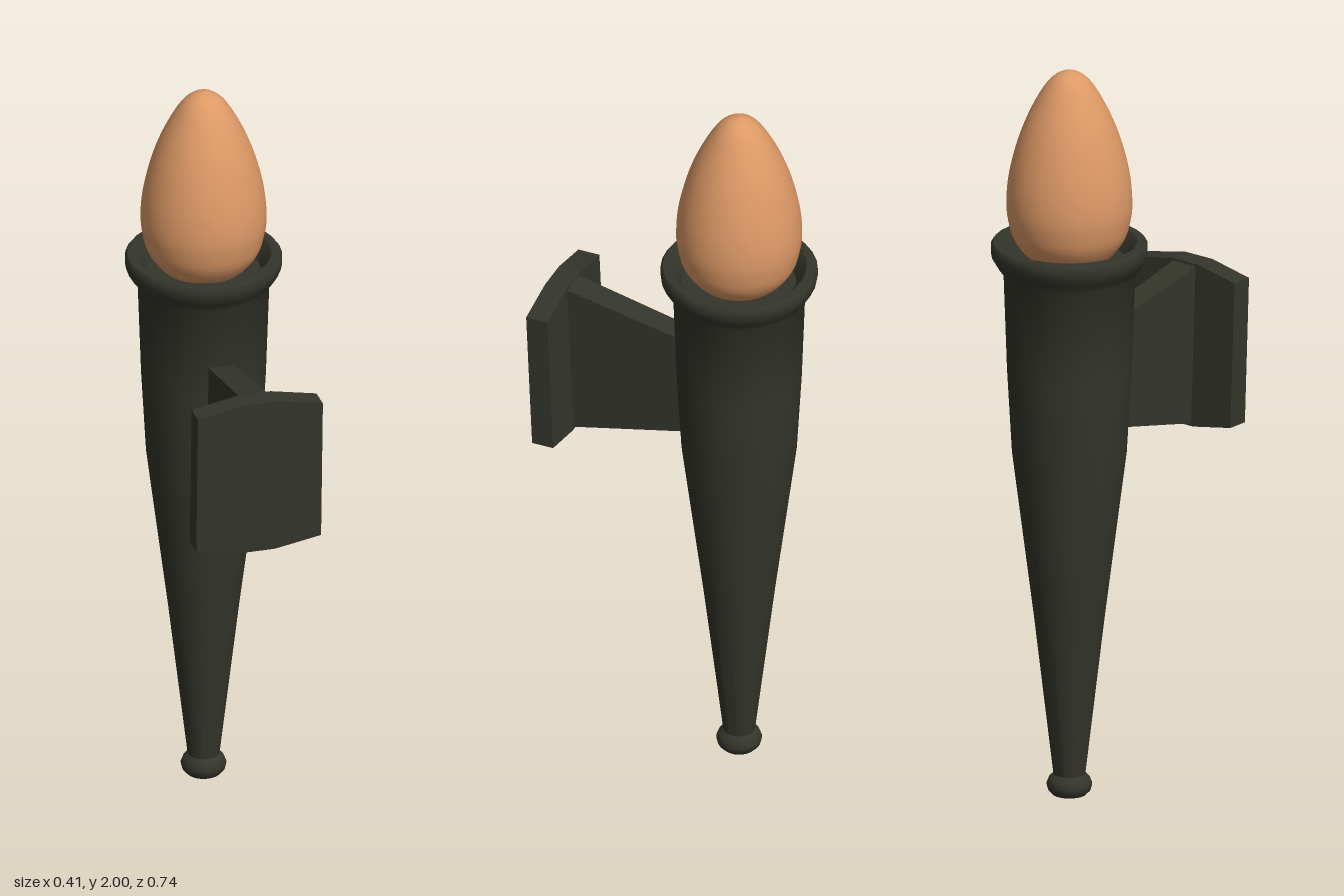
import * as THREE from 'three';
import { toCreasedNormals } from 'three/addons/utils/BufferGeometryUtils.js';

const iron = new THREE.MeshStandardMaterial({ color: 0x34352b });
const glow = new THREE.MeshStandardMaterial({ color: 0xdd9966 });
const TORCH_Z = -0.165;

const vec = ([x, y]) => new THREE.Vector2(x, y);

function add(group, name, geometry, material) {
  const mesh = new THREE.Mesh(geometry, material);
  mesh.name = name;
  group.add(mesh);
  return mesh;
}

// Extrude an outline, then move every vertex by a rule; faces stay flat
function flatExtrude(outline, depth, rule) {
  const geo = new THREE.ExtrudeGeometry(new THREE.Shape(outline.map(vec)), { depth, bevelEnabled: false });
  geo.translate(0, 0, -depth / 2);
  const pos = geo.attributes.position;
  const v = new THREE.Vector3();
  for (let i = 0; i < pos.count; i++) {
    rule(v.fromBufferAttribute(pos, i));
    pos.setXYZ(i, v.x, v.y, v.z);
  }
  geo.computeVertexNormals();
  return geo;
}

export function createModel() {
  const model = new THREE.Group();
  model.name = 'wallTorch';

  // Tapered handle with a foot knob, flared rim and shallow cup
  const handle = [
    [0, 0], [0.045, 0], [0.056, 0.012], [0.06, 0.028], [0.054, 0.044], [0.042, 0.056],
    [0.094, 0.5], [0.151, 0.95], [0.164, 1.18], [0.173, 1.44],
    [0.19, 1.463], [0.203, 1.485], [0.206, 1.5], [0.206, 1.518], [0.2, 1.526],
    [0.178, 1.526], [0.167, 1.515], [0.15, 1.475], [0, 1.46],
  ];
  const handleGeo = toCreasedNormals(new THREE.LatheGeometry(handle.map(vec), 32), 0.7);
  add(model, 'handle', handleGeo, iron).position.z = TORCH_Z;

  // Egg-shaped flame
  const flame = new THREE.SplineCurve([
    [0, 1.465], [0.09, 1.477], [0.142, 1.53], [0.161, 1.59], [0.165, 1.645], [0.157, 1.72],
    [0.134, 1.81], [0.102, 1.89], [0.062, 1.96], [0.03, 1.99], [0, 2],
  ].map(vec)).getPoints(40);
  flame[0].x = flame[40].x = 0;
  add(model, 'flame', new THREE.LatheGeometry(flame, 40), glow).position.z = TORCH_Z;

  // Wall plate with chamfered ends, leaning slightly with its sides set back
  const plate = [
    [-0.17, 0.925], [-0.045, 0.902], [0.045, 0.902], [0.17, 0.925],
    [0.17, 1.32], [0.045, 1.345], [-0.045, 1.345], [-0.17, 1.32],
  ];
  add(model, 'wallPlate', flatExtrude(plate, 0.06, (v) => {
    v.z += 0.34 + (v.y - 1.345) * 0.043;
  }), iron);

  // Web joining the plate to the handle, spreading towards the plate
  const web = [[-0.1, 0.997], [0.32, 0.903], [0.34, 1.345], [-0.1, 1.25]];
  add(model, 'bracketWeb', flatExtrude(web, 0.07, (v) => {
    const z = v.x;
    v.set(-Math.sign(v.z) * (0.034 + 0.013 * z), v.y, z);
  }), iron);

  return model;
}
